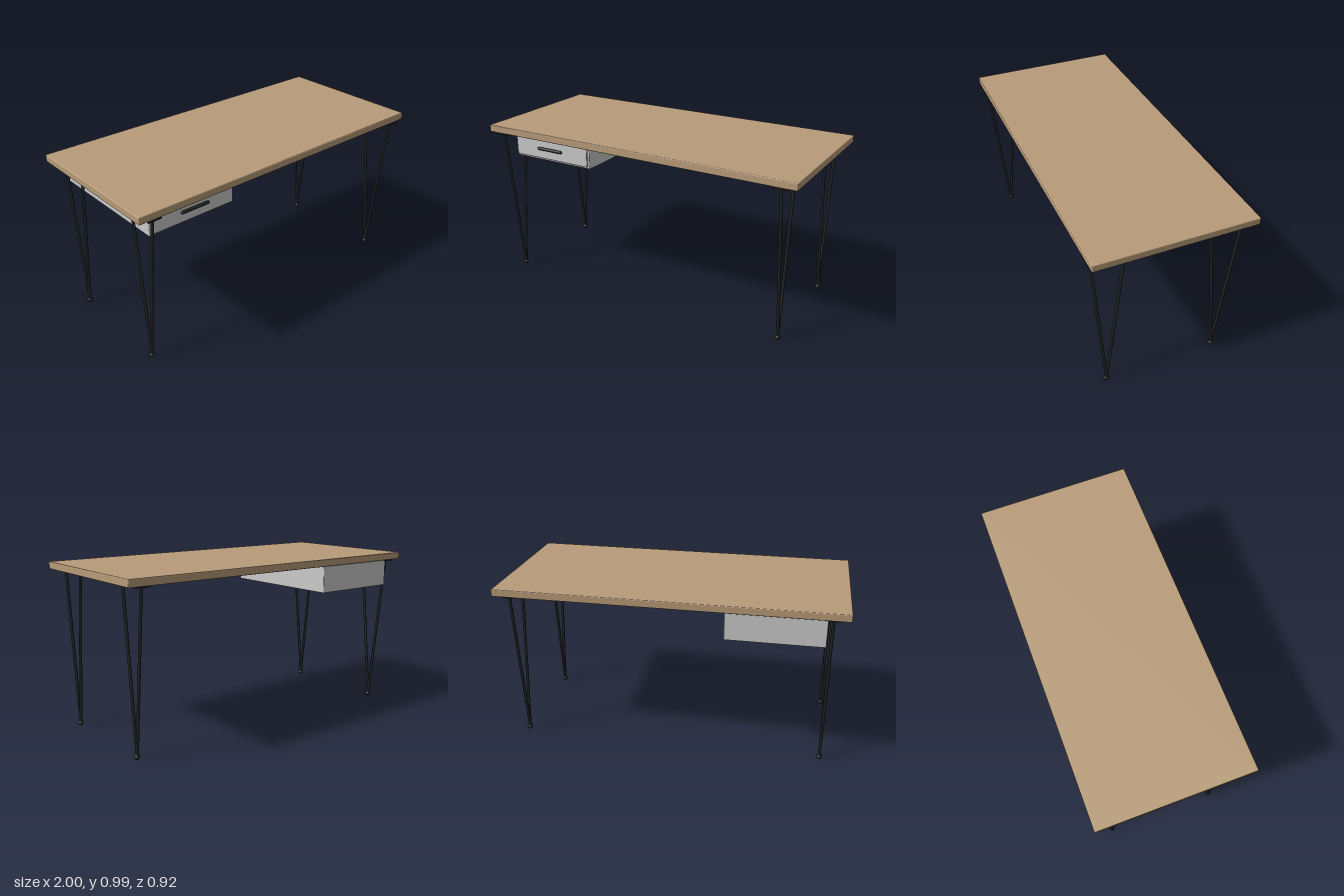
import * as THREE from 'three';
import { RoundedBoxGeometry } from 'three/addons/geometries/RoundedBoxGeometry.js';

const wood = new THREE.MeshStandardMaterial({ color: 0xb89c79 });
const metal = new THREE.MeshStandardMaterial({ color: 0x222324 });
const grey = new THREE.MeshStandardMaterial({ color: 0xcccccc });

function add(parent, name, geometry, material, x, y, z) {
  const mesh = new THREE.Mesh(geometry, material);
  mesh.name = name;
  mesh.position.set(x, y, z);
  parent.add(mesh);
  return mesh;
}

// Straight round rod between two points
function rod(parent, name, a, b, radius) {
  const dir = b.clone().sub(a);
  const mid = a.clone().add(b).multiplyScalar(0.5);
  const mesh = add(parent, name, new THREE.CylinderGeometry(radius, radius, dir.length(), 16), metal, mid.x, mid.y, mid.z);
  mesh.quaternion.setFromUnitVectors(new THREE.Vector3(0, 1, 0), dir.normalize());
}

// Hairpin leg: mounting plate, two rods meeting in a ball foot
function hairpinLeg(name, x, z) {
  const leg = new THREE.Group();
  leg.name = name;
  leg.position.set(x, 0, z);
  add(leg, 'mountingPlate', new THREE.BoxGeometry(0.08, 0.008, 0.24), metal, 0, 0.939, 0);
  const foot = new THREE.Vector3(0, 0.016, 0);
  for (const s of [-1, 1]) rod(leg, 'legRod', foot, new THREE.Vector3(0, 0.937, s * 0.094), 0.0085);
  add(leg, 'foot', new THREE.SphereGeometry(0.016, 20, 14), metal, 0, 0.016, 0);
  return leg;
}

export function createModel() {
  const desk = new THREE.Group();
  desk.name = 'desk';

  // Table top
  add(desk, 'tableTop', new RoundedBoxGeometry(2, 0.043, 0.918, 3, 0.005), wood, 0, 0.9645, 0);

  // Four legs
  for (const [side, x] of [['left', 0.907], ['right', -0.907]]) {
    desk.add(hairpinLeg(side + 'FrontLeg', x, 0.34));
    desk.add(hairpinLeg(side + 'BackLeg', x, -0.327));
  }

  // Drawer hung under the right end
  const drawer = new THREE.Group();
  drawer.name = 'drawer';
  drawer.position.set(-0.604, 0.8625, 0);
  add(drawer, 'drawerBox', new RoundedBoxGeometry(0.552, 0.161, 0.8, 3, 0.005), grey, 0, 0, -0.047);
  add(drawer, 'drawerFront', new RoundedBoxGeometry(0.533, 0.131, 0.016, 3, 0.005), grey, 0, 0, 0.361);
  const handle = add(drawer, 'drawerHandle', new THREE.CapsuleGeometry(0.0095, 0.165, 6, 16), metal, 0, 0, 0.38);
  handle.rotation.z = Math.PI / 2;
  desk.add(drawer);

  return desk;
}
